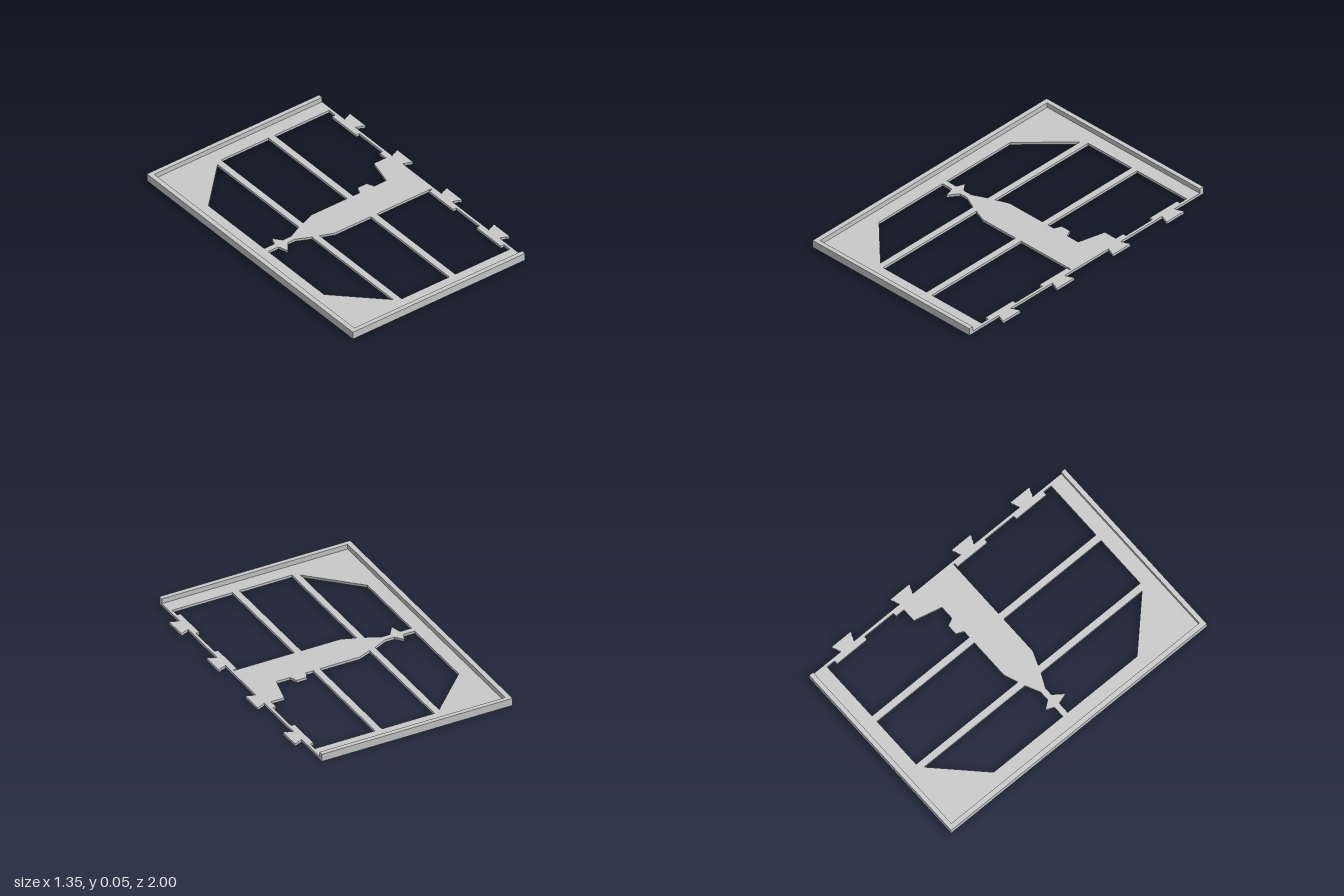
import * as THREE from 'three';

const T = 0.017; // plate thickness
const H = 0.05;  // rim height
const XB = -0.642, XF = 0.616, ZI = 0.97; // plate edges inside the rim

// Points are [x, z]; z is flipped so the extrusion can be laid flat.
// Outlines run counter-clockwise and holes clockwise, so every wall faces outward.
function toPoints(pts, clockwise) {
  const points = pts.map(([x, z]) => new THREE.Vector2(x, -z));
  return THREE.ShapeUtils.isClockWise(points) === clockwise ? points : points.reverse();
}

function slab(name, outline, holes, height, material) {
  const shape = new THREE.Shape(toPoints(outline, false));
  holes.forEach((h) => shape.holes.push(new THREE.Path(toPoints(h, true))));
  const geo = new THREE.ExtrudeGeometry(shape, { depth: height, bevelEnabled: false });
  geo.rotateX(-Math.PI / 2);
  const mesh = new THREE.Mesh(geo, material);
  mesh.name = name;
  return mesh;
}

export function createModel() {
  const group = new THREE.Group();
  group.name = 'framePanel';
  const grey = new THREE.MeshStandardMaterial({ color: 0xc9c9c9 });
  grey.name = 'plain grey';

  // Openings at the back, with chamfered outer corners and the pointed spine tip
  const backFar = [
    [-0.552, -0.02], [-0.552, -0.561], [-0.258, -0.853], [-0.258, -0.065],
    [-0.35, -0.02], [-0.413, -0.02], [-0.454, -0.072], [-0.475, -0.02],
  ];
  const backNear = [
    [-0.552, 0.018], [-0.475, 0.018], [-0.454, 0.086], [-0.403, 0.018],
    [-0.35, 0.018], [-0.258, 0.062], [-0.258, 0.852], [-0.552, 0.56],
  ];
  // Openings between the two cross bars
  const middleFar = [
    [-0.214, -0.877], [0.143, -0.877], [0.143, -0.115], [-0.126, -0.115], [-0.214, -0.081],
  ];
  const middleNear = [
    [-0.214, 0.876], [0.143, 0.876], [0.143, 0.114], [-0.124, 0.114], [-0.214, 0.079],
  ];
  // Openings beside the tabbed edge, with stepped pads behind the tabs
  const edgeFar = [
    [0.188, -0.877], [0.597, -0.877], [0.597, -0.819], [0.573, -0.819], [0.573, -0.585],
    [0.597, -0.585], [0.597, -0.358], [0.573, -0.358], [0.573, -0.296], [0.483, -0.296],
    [0.438, -0.115], [0.346, -0.115], [0.326, -0.162], [0.257, -0.162], [0.237, -0.115],
    [0.188, -0.115],
  ];
  const edgeNear = [
    [0.188, 0.114], [0.597, 0.114], [0.597, 0.122], [0.573, 0.122], [0.573, 0.356],
    [0.597, 0.356], [0.597, 0.584], [0.573, 0.584], [0.573, 0.818], [0.597, 0.818],
    [0.597, 0.876], [0.188, 0.876],
  ];

  // Plate outline with four flared tabs along the open edge
  const outline = [[XB, -ZI], [XF, -ZI]];
  const flare = [[XF, 0.05], [0.632, 0.06], [0.65, 0.064], [0.66, 0.072], [0.675, 0.074]];
  for (const z of [-0.7, -0.241, 0.238, 0.698]) {
    flare.forEach(([x, w]) => outline.push([x, z - w]));
    flare.toReversed().forEach(([x, w]) => outline.push([x, z + w]));
  }
  outline.push([XF, ZI], [XB, ZI]);
  group.add(slab('plate', outline,
    [backFar, backNear, middleFar, middleNear, edgeFar, edgeNear], T, grey));

  // Raised rim on three sides
  group.add(slab('rim', [
    [XF, -1], [-0.675, -1], [-0.675, 1], [XF, 1],
    [XF, ZI], [XB, ZI], [XB, -ZI], [XF, -ZI],
  ], [], H, grey));

  return group;
}
